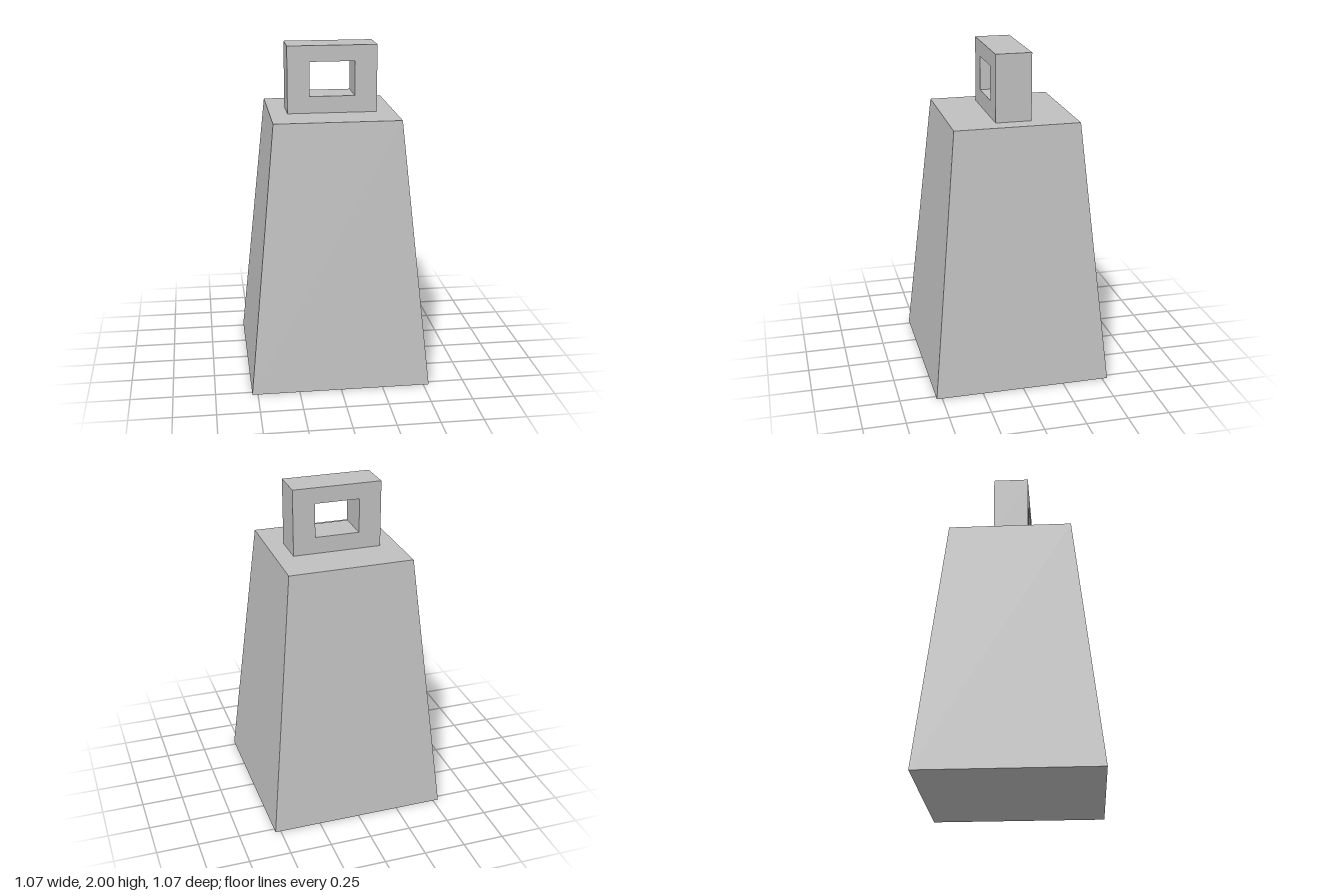
import * as THREE from 'three';

const rect = (PathType, hw, y0, y1) => new PathType([
  [-hw, y0], [hw, y0], [hw, y1], [-hw, y1],
].map(([x, y]) => new THREE.Vector2(x, y)));

export function createModel() {
  const group = new THREE.Group();
  const metal = new THREE.MeshStandardMaterial({ color: 0xc0c0c0, flatShading: true });
  metal.name = 'grey metal';

  // Tapered square body: a four-sided frustum turned to face the front
  const bodyHeight = 1.6;
  const bodyGeo = new THREE.CylinderGeometry(0.373 * Math.SQRT2, 0.533 * Math.SQRT2, bodyHeight, 4);
  bodyGeo.rotateY(Math.PI / 4).translate(0, bodyHeight / 2, 0);
  const body = new THREE.Mesh(bodyGeo, metal);
  body.name = 'body';
  group.add(body);

  // Handle block with a rectangular opening from front to back
  const depth = 0.214;
  const outline = rect(THREE.Shape, 0.267, bodyHeight, 2);
  outline.holes.push(rect(THREE.Path, 0.134, 1.7, 1.905));
  const handleGeo = new THREE.ExtrudeGeometry(outline, { depth, bevelEnabled: false });
  handleGeo.translate(0, 0, -depth / 2);
  const handle = new THREE.Mesh(handleGeo, metal);
  handle.name = 'handle';
  group.add(handle);

  return group;
}
